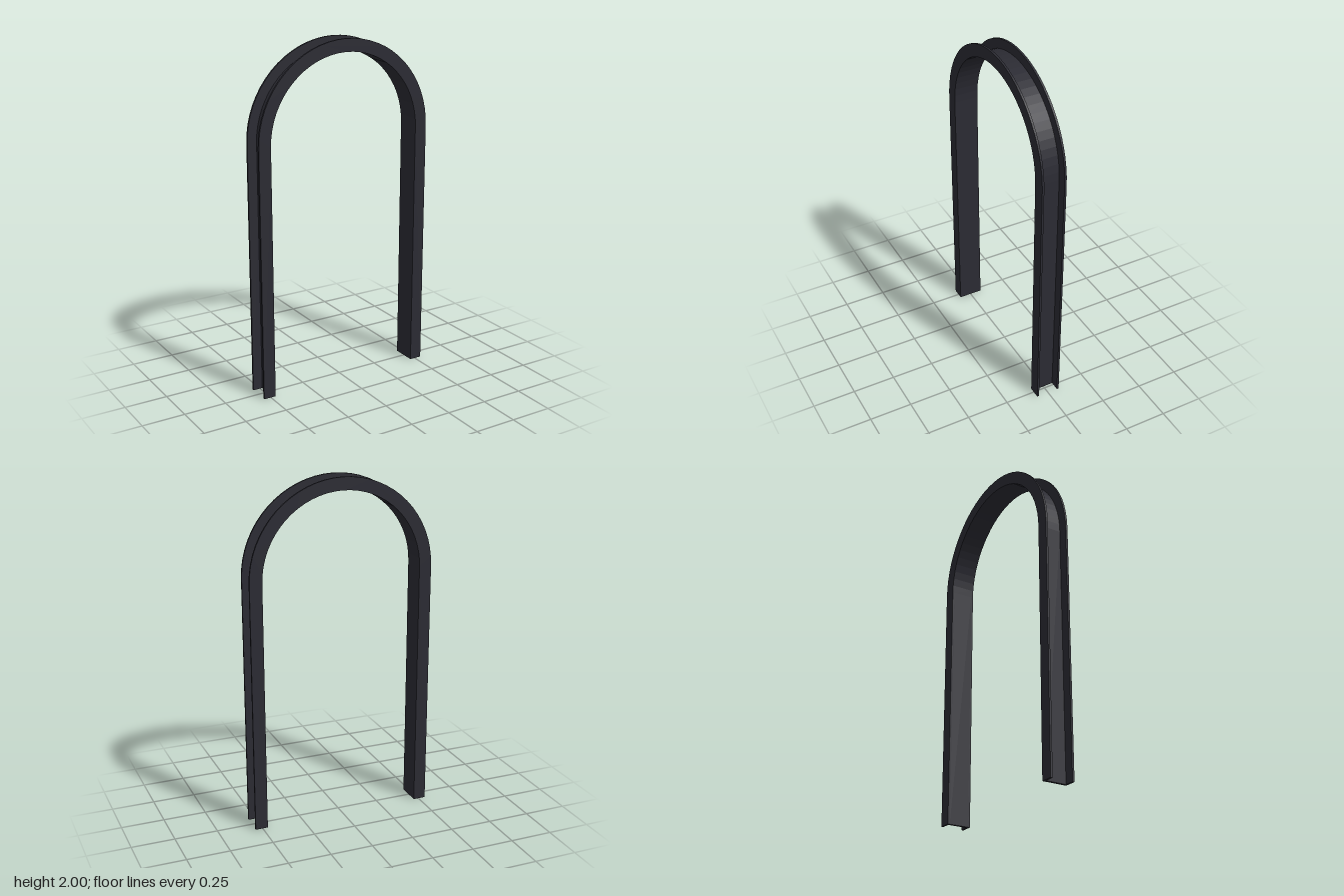
import * as THREE from 'three';

const OUTER = 0.542;          // outer edge of the flanges
const WEB = 0.486;            // outer face of the web
const INNER = 0.469;          // inner face of the arch
const SPRING = 2 - OUTER;     // height where the legs meet the arc
const DEPTH = 0.144;
const FLANGE = 0.012;

// Arched band between two radii, with straight legs down to the ground
function archBand(rOut, rIn, z0, z1) {
  const shape = new THREE.Shape();
  shape.moveTo(rOut, 0);
  shape.lineTo(rOut, SPRING);
  shape.absarc(0, SPRING, rOut, 0, Math.PI, false);
  shape.lineTo(-rOut, 0);
  shape.lineTo(-rIn, 0);
  shape.lineTo(-rIn, SPRING);
  shape.absarc(0, SPRING, rIn, Math.PI, 0, true);
  shape.lineTo(rIn, 0);
  shape.closePath();
  const geometry = new THREE.ExtrudeGeometry(shape, {
    depth: z1 - z0, bevelEnabled: false, curveSegments: 16,
  });
  return geometry.translate(0, 0, z0);
}

export function createModel() {
  const group = new THREE.Group();
  group.name = 'archedChannel';

  const darkMetal = new THREE.MeshStandardMaterial({ color: 0x2b2b33 });
  darkMetal.name = 'darkMetal';

  const add = (name, geometry) => {
    const mesh = new THREE.Mesh(geometry, darkMetal);
    mesh.name = name;
    group.add(mesh);
  };

  // Channel section opening outwards: a web between two flanges
  const h = DEPTH / 2;
  add('web', archBand(WEB, INNER, -h + FLANGE, h - FLANGE));
  add('frontFlange', archBand(OUTER, INNER, h - FLANGE, h));
  add('backFlange', archBand(OUTER, INNER, -h, -h + FLANGE));

  return group;
}
